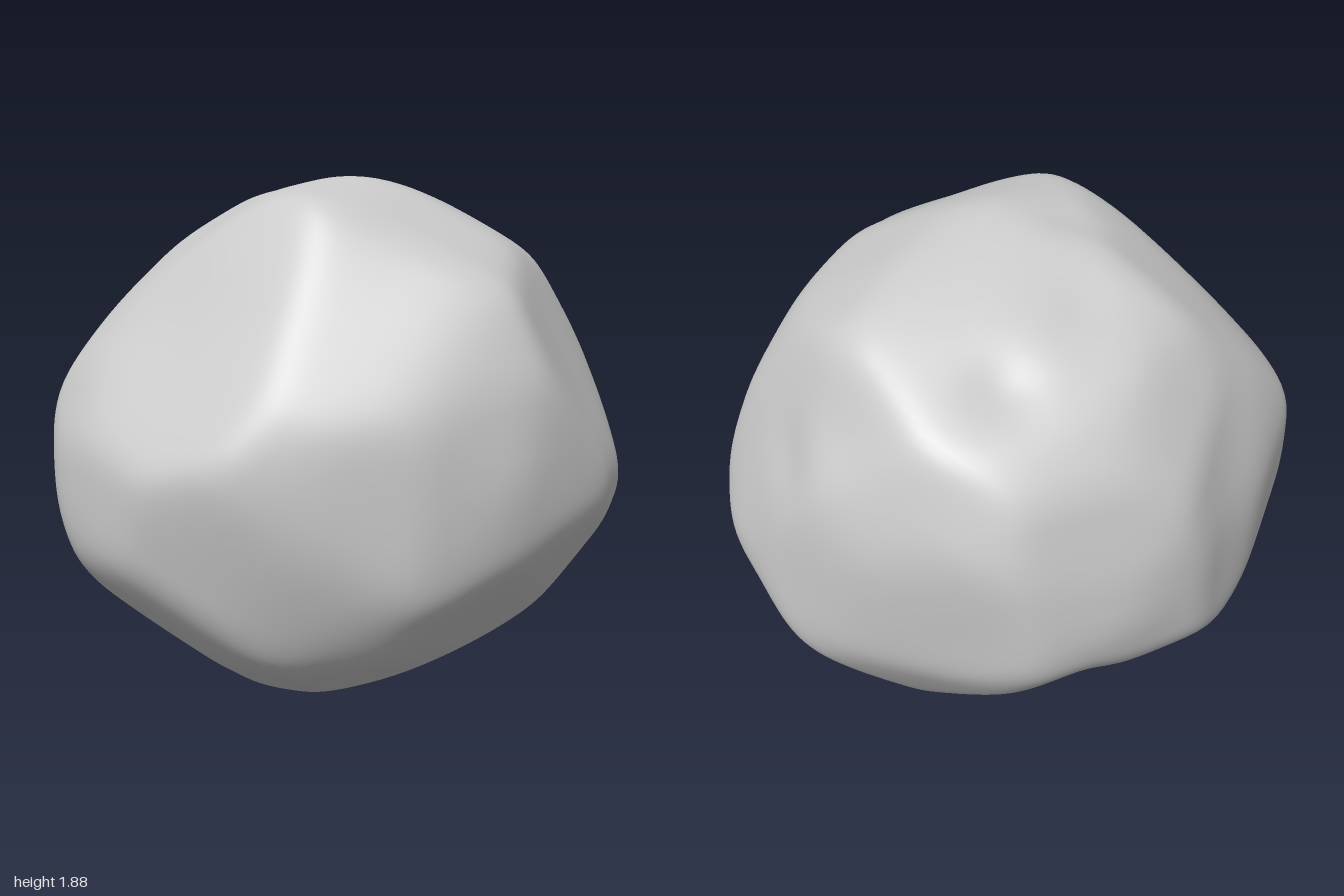
import * as THREE from 'three';
import { mergeVertices } from 'three/addons/utils/BufferGeometryUtils.js';

const V = (x, y, z) => new THREE.Vector3(x, y, z);

// Cross-section outlines of the boulder, each lying in the plane of two axes
const frontOutline = [[0.03, 0.94], [-0.35, 0.87], [-0.46, 0.81], [-0.6, 0.66], [-0.86, 0.33], [-0.98, 0.06], [-1, -0.14], [-0.96, -0.31],
  [-0.82, -0.53], [-0.38, -0.84], [0, -0.94], [0.4, -0.85], [0.7, -0.65], [0.87, -0.48], [0.99, -0.2], [0.9, 0.16], [0.84, 0.42], [0.67, 0.8], [0.4, 0.86]];
const sideOutline = [[0.1, 0.94], [-0.1, 0.91], [-0.35, 0.81], [-0.65, 0.63], [-0.8, 0.41], [-0.88, 0.1], [-0.9, -0.08], [-0.86, -0.27],
  [-0.7, -0.51], [-0.2, -0.86], [0.03, -0.94], [0.25, -0.85], [0.73, -0.59], [0.82, -0.44], [0.91, 0.02], [0.87, 0.31], [0.76, 0.62], [0.4, 0.85]];
const planOutline = [[0, -0.91], [0.35, -0.86], [0.55, -0.77], [0.7, -0.6], [0.94, -0.1], [1, 0.2], [0.87, 0.55], [0.63, 0.77],
  [0.13, 0.9], [-0.2, 0.85], [-0.5, 0.72], [-0.77, 0.57], [-0.9, 0.35], [-1, -0.15], [-0.92, -0.38], [-0.6, -0.64], [-0.3, -0.85]];
const obliqueA = [[0, 0.9], [0.25, 0.85], [0.77, 0.61], [0.9, 0.26], [0.9, 0.09], [0.83, -0.43], [0.77, -0.61], [0.59, -0.77],
  [0.34, -0.86], [-0.11, -0.86], [-0.62, -0.68], [-0.78, -0.49], [-0.95, 0.04], [-0.94, 0.15], [-0.76, 0.38], [-0.43, 0.8]];
const obliqueB = [[0.08, 0.91], [0.46, 0.83], [0.67, 0.62], [0.85, 0.29], [0.95, 0], [0.8, -0.49], [0.57, -0.73], [0.22, -0.88],
  [-0.03, -0.82], [-0.36, -0.69], [-0.7, -0.57], [-0.82, -0.4], [-0.85, -0.18], [-0.91, 0.12], [-0.81, 0.45], [-0.59, 0.82], [-0.28, 0.88]];
const obliqueC = [[-0.27, 0.955], [-0.08, 0.92], [0.25, 0.83], [0.5, 0.75], [0.74, 0.45], [0.92, -0.04], [0.93, -0.24], [0.75, -0.62],
  [0.25, -0.87], [-0.02, -0.895], [-0.3, -0.83], [-0.74, -0.46], [-0.96, -0.18], [-1, 0.01], [-0.82, 0.48], [-0.46, 0.92]];

// Turns an outline into a polar lookup of radii with soft corners
const STEPS = 360;
function polar(points) {
  const corners = points.map(([a, b]) => [Math.atan2(b, a), a, b]).sort((p, q) => p[0] - q[0]);
  const radii = [];
  for (let i = 0; i < STEPS; i++) {
    const t = (i / STEPS) * 2 * Math.PI - Math.PI;
    const k = Math.max(0, corners.findIndex((p) => p[0] > t));
    const [, ax, ay] = corners[(k + corners.length - 1) % corners.length];
    const [, bx, by] = corners[k];
    const ex = bx - ax, ey = by - ay;
    radii.push((ax * ey - ay * ex) / (Math.cos(t) * ey - Math.sin(t) * ex));
  }
  return radii.map((_, i) => {
    let sum = 0;
    for (let j = -4; j <= 4; j++) sum += radii[(i + j + STEPS) % STEPS];
    return sum / 9;
  });
}
function lookup(radii, a, b) {
  const f = ((Math.atan2(b, a) + Math.PI) / (2 * Math.PI)) * STEPS;
  const i = Math.floor(f), w = f - i;
  return radii[i % STEPS] * (1 - w) + radii[(i + 1) % STEPS] * w;
}

const S = Math.SQRT1_2, Q = S / 2, C = Math.sqrt(0.75);
const sections = [
  [frontOutline, V(1, 0, 0), V(0, 1, 0)],
  [sideOutline, V(0, 0, 1), V(0, 1, 0)],
  [planOutline, V(1, 0, 0), V(0, 0, 1)],
  [obliqueA, V(S, 0, -S), V(-Q, C, -Q)],
  [obliqueB, V(-S, 0, S), V(Q, C, Q)],
  [obliqueC, V(-S, 0, -S), V(Q, C, -Q)],
].map(([points, u, v]) => ({ radii: polar(points), u, v }));

// Broad worn faces: direction and distance from the middle
const facets = [
  [V(0.61, 0.42, 0.66), 0.865], // front left shoulder
  [V(-0.22, 0.33, 0.92), 0.895], // front
  [V(-0.37, 0.5, 0.78), 0.86], // front right shoulder
  [V(-0.77, 0.54, 0.33), 0.85], // right shoulder
  [V(-0.68, 0.68, -0.25), 0.88], // right top
  [V(-0.6, 0.5, -0.62), 0.89], // back right shoulder
  [V(0.1, 0.93, -0.33), 0.87], // sloping top
  [V(0.93, 0.36, -0.05), 0.9], // left flank
  [V(0.7, -0.06, -0.7), 0.885], // back left
  [V(-0.5, -0.4, 0.77), 0.9], // lower front right
  [V(0.2, -0.86, 0.46), 0.86], // lower front
  [V(0.62, -0.62, 0.48), 0.91], // lower front left
  [V(0.55, -0.55, -0.62), 0.87], // lower back left
  [V(-0.05, -0.78, -0.62), 0.79], // lower back
  [V(-0.55, -0.55, -0.62), 0.91], // lower back right
].map(([n, h]) => [n.normalize(), h]);

// Shallow hollows: direction, depth, width
const hollows = [
  [V(0.3, 0.75, -0.6), 0.03, 0.13], [V(-0.2, 0.95, -0.05), 0.015, 0.12], [V(-0.1, 0.9, -0.42), 0.015, 0.14],
  [V(0.8, 0.3, -0.12), 0.02, 0.17], [V(0.72, 0.5, -0.3), 0.02, 0.17],
];
// Groove running up the lower back
for (let t = 0; t <= 1; t += 0.2) hollows.push([V(0.28 - 0.15 * t, -0.8 + 0.43 * t, -0.32 - 0.56 * t), 0.02, 0.13]);
for (const [n] of hollows) n.normalize();

// Gentle weathering
function ripple({ x, y, z }) {
  return 0.004 * Math.sin(5 * x + 3 * y + 2 * Math.sin(4 * z)) + 0.003 * Math.sin(6 * z - 5 * y + 2 * Math.sin(4 * x));
}

// Radius of the rock in a direction: the nearest face, with rounded edges
function radius(d) {
  const p = 44;
  let sum = 0;
  for (const { radii, u, v } of sections) {
    const a = d.dot(u), b = d.dot(v);
    sum += (Math.hypot(a, b) / lookup(radii, a, b)) ** p;
  }
  for (const [n, h] of facets) sum += (Math.max(0, d.dot(n)) / h) ** p;
  let r = 1.03 * sum ** (-1 / p) + ripple(d);
  for (const [n, depth, width] of hollows) r -= depth * Math.exp(-d.distanceToSquared(n) / (width * width));
  return r;
}

export function createModel() {
  let geometry = new THREE.IcosahedronGeometry(1, 40);
  geometry.deleteAttribute('normal');
  geometry.deleteAttribute('uv');
  geometry = mergeVertices(geometry, 1e-4);
  const position = geometry.attributes.position;
  const d = V(0, 0, 0);
  for (let i = 0; i < position.count; i++) {
    d.fromBufferAttribute(position, i).normalize();
    d.multiplyScalar(radius(d));
    position.setXYZ(i, d.x, d.y, d.z);
  }

  // Stand it on the floor, centred
  geometry.computeBoundingBox();
  const box = geometry.boundingBox;
  const mid = box.getCenter(V(0, 0, 0));
  geometry.translate(-mid.x, -box.min.y, -mid.z);
  geometry.computeVertexNormals();

  const boulder = new THREE.Mesh(geometry, new THREE.MeshStandardMaterial({ color: 0xcccccc }));
  boulder.name = 'boulder';
  const group = new THREE.Group();
  group.name = 'rock';
  group.add(boulder);
  return group;
}
